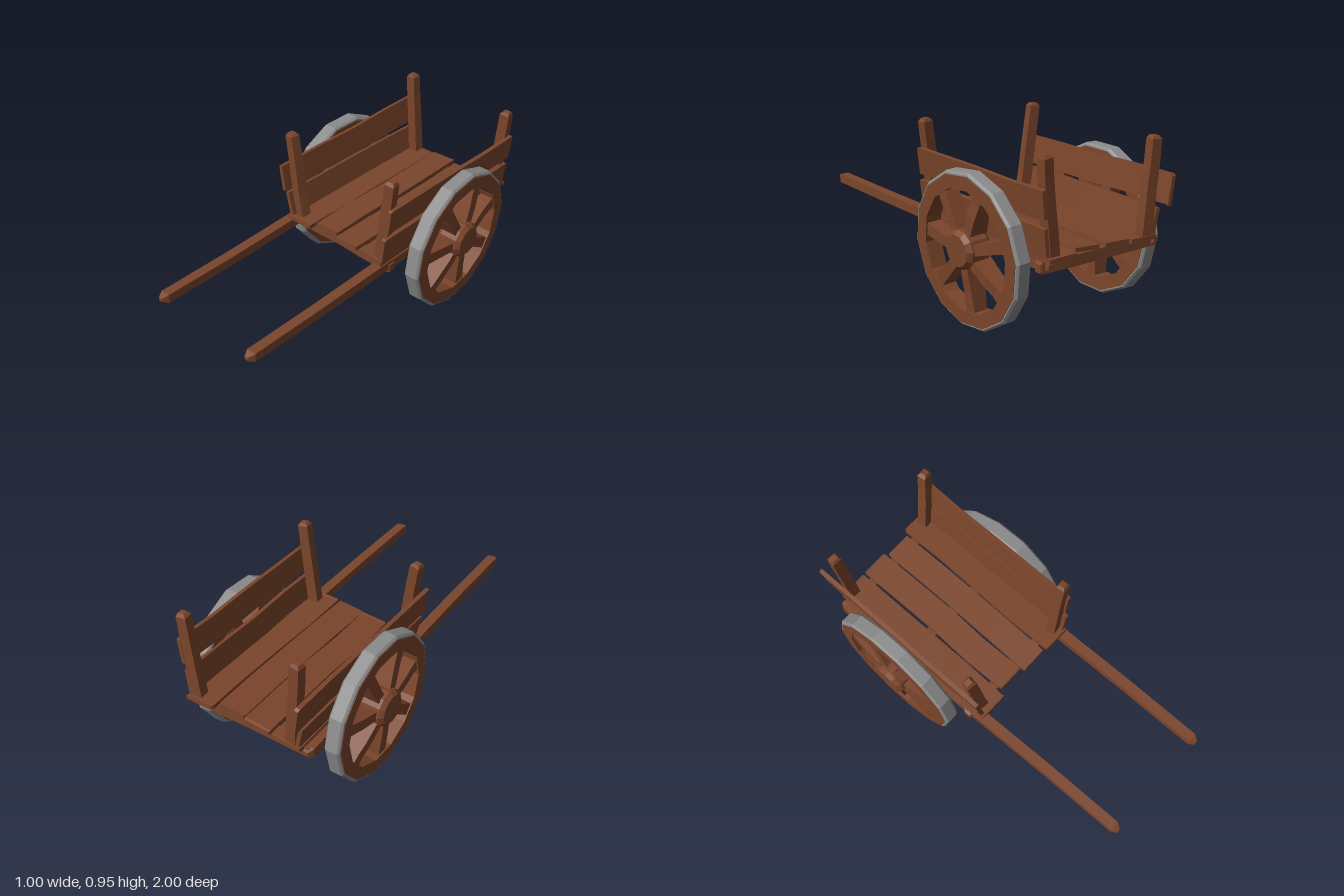
import * as THREE from 'three';

const wood = new THREE.MeshStandardMaterial({ color: 0x7b452b, flatShading: true });
wood.name = 'wood';
const iron = new THREE.MeshStandardMaterial({ color: 0x8c8c8c, flatShading: true });
iron.name = 'iron';

let seed = 7;
function rand() { // seeded, -1..1
  seed = (seed * 16807) % 2147483647;
  return (seed / 2147483647) * 2 - 1;
}

function add(parent, name, geometry, material = wood) {
  const mesh = new THREE.Mesh(geometry, material);
  mesh.name = name;
  parent.add(mesh);
  return mesh;
}

// Rough-hewn timber from a to b: chamfered ends, slightly wavy, optional taper
function timber(parent, name, a, b, w, h, { chamfer = 0.012, tip = 0.75, wobble = 0.004, taper = 1, taperH = taper, roll = 0 } = {}) {
  const from = new THREE.Vector3(...a), to = new THREE.Vector3(...b);
  const length = from.distanceTo(to), n = 6;
  const rings = [];
  for (let i = 0; i <= n; i++) {
    const end = i === 0 || i === n;
    let t = end ? i / n : (i - 1) / (n - 2);
    if (i === 1) t = chamfer / length;
    if (i === n - 1) t = 1 - chamfer / length;
    rings.push({
      z: (t - 0.5) * length,
      sx: (end ? tip : 1) * (1 + (taper - 1) * t),
      sy: (end ? tip : 1) * (1 + (taperH - 1) * t),
      dx: rand() * wobble, dy: rand() * wobble * 0.4,
    });
  }
  const geo = new THREE.BoxGeometry(w, h, length, 1, 1, n);
  const p = geo.attributes.position;
  for (let i = 0; i < p.count; i++) {
    const r = rings[Math.round((p.getZ(i) / length + 0.5) * n)];
    p.setXYZ(i, p.getX(i) * r.sx + r.dx, p.getY(i) * r.sy + r.dy, r.z);
  }
  geo.rotateZ(roll);
  const mesh = add(parent, name, geo);
  mesh.position.copy(from).add(to).multiplyScalar(0.5);
  mesh.quaternion.setFromUnitVectors(new THREE.Vector3(0, 0, 1), to.sub(from).normalize());
  return mesh;
}

// Surface of revolution about the x axis, profile as [radius, x]
function turned(profile, sides) {
  return new THREE.LatheGeometry(profile.map(([r, y]) => new THREE.Vector2(r, y)), sides).rotateZ(-Math.PI / 2);
}

function makeWheel(side) {
  const wheel = new THREE.Group();
  wheel.name = side > 0 ? 'leftWheel' : 'rightWheel';
  // wooden rim and iron tyre
  add(wheel, 'rim', turned([[0.31, -0.045], [0.38, -0.045], [0.38, 0.045], [0.31, 0.045], [0.31, -0.045]], 14));
  add(wheel, 'tyre', turned([[0.375, -0.042], [0.387, -0.042], [0.397, -0.031], [0.397, 0.031],
    [0.387, 0.042], [0.375, 0.042], [0.375, -0.042]], 14), iron);
  // hub with bevelled ends
  const hub = add(wheel, 'hub', turned([[0, -0.073], [0.08, -0.073], [0.1, -0.05], [0.1, 0.05], [0.08, 0.073], [0, 0.073]], 12));
  hub.position.set(side * 0.013, 0.015, 0);
  // seven spokes, deep at the hub and broader at the rim
  for (let k = 0; k < 7; k++) {
    const a = -Math.PI / 2 + (k * 2 * Math.PI) / 7;
    const y = Math.sin(a), z = -Math.cos(a);
    const spoke = new THREE.Group();
    spoke.name = 'spoke';
    spoke.rotation.x = Math.atan2(-y, z);
    timber(spoke, 'spokeBar', [0, 0, 0.06], [0, 0, 0.33], 0.108, 0.05,
      { taper: 0.65, taperH: 1.3, tip: 1, wobble: 0.003 });
    wheel.add(spoke);
  }
  return wheel;
}

export function createModel() {
  const cart = new THREE.Group();
  cart.name = 'handcart';

  // wheels, each a little crooked
  const left = makeWheel(1);
  left.position.set(0.41, 0.4, -0.44);
  left.rotation.set(0.1, 0.05, -0.045);
  const right = makeWheel(-1);
  right.position.set(-0.41, 0.411, -0.43);
  right.rotation.set(0, 0, 0.02);
  cart.add(left, right);

  // axle and cross beams
  timber(cart, 'axle', [-0.38, 0.43, -0.435], [0.38, 0.415, -0.435], 0.06, 0.066, { wobble: 0.003 });
  timber(cart, 'frontBeam', [-0.35, 0.43, 0.01], [0.355, 0.42, 0.01], 0.05, 0.055);
  timber(cart, 'backBeam', [-0.35, 0.43, -0.88], [0.355, 0.425, -0.88], 0.05, 0.055);

  // long shafts running under the bed
  timber(cart, 'rightShaft', [-0.333, 0.433, -0.92], [-0.285, 0.436, 1], 0.058, 0.052,
    { chamfer: 0.03, tip: 0.4, taper: 0.92 });
  timber(cart, 'leftShaft', [0.312, 0.433, -0.92], [0.333, 0.436, 1], 0.058, 0.052,
    { chamfer: 0.03, tip: 0.4, taper: 0.92 });

  // bed planks: centre x, width, back z, front z, height, tilt
  for (const [x, w, z0, z1, y, roll] of [
    [-0.237, 0.165, -0.94, 0.1, 0.463, 0.02],
    [-0.065, 0.15, -0.94, 0.065, 0.478, 0.05],
    [0.097, 0.15, -0.92, 0.085, 0.477, 0.07],
    [0.268, 0.155, -0.96, 0.095, 0.474, -0.02],
  ]) timber(cart, 'bedPlank', [x, y, z0], [x, y, z1], w, 0.022, { tip: 0.97, wobble: 0.006, roll });

  // corner posts leaning outward: bottom x, top x, z
  for (const [x0, x1, z] of [
    [-0.262, -0.333, 0.035], [-0.262, -0.302, -0.91],
    [0.298, 0.355, 0.035], [0.3, 0.352, -0.91],
  ]) timber(cart, 'cornerPost', [x0, 0.46, z], [x1, 0.952, z], 0.06, 0.055,
    { chamfer: 0.016, tip: 0.6, taper: 0.9, wobble: 0.003 });

  // side boards outside the posts: x, centre y, height, back z, front z, lean
  for (const [x, y, h, z0, z1, lean] of [
    [-0.344, 0.697, 0.15, -1, 0.105, 0.15],
    [-0.314, 0.538, 0.135, -0.935, 0.085, 0.22],
    [0.366, 0.73, 0.14, -0.94, 0.07, -0.11],
    [0.346, 0.555, 0.14, -0.935, 0.085, -0.11],
  ]) timber(cart, 'sideBoard', [x, y, z0], [x, y, z1], h, 0.022,
    { tip: 0.97, wobble: 0.005, roll: Math.PI / 2 + lean });

  return cart;
}
